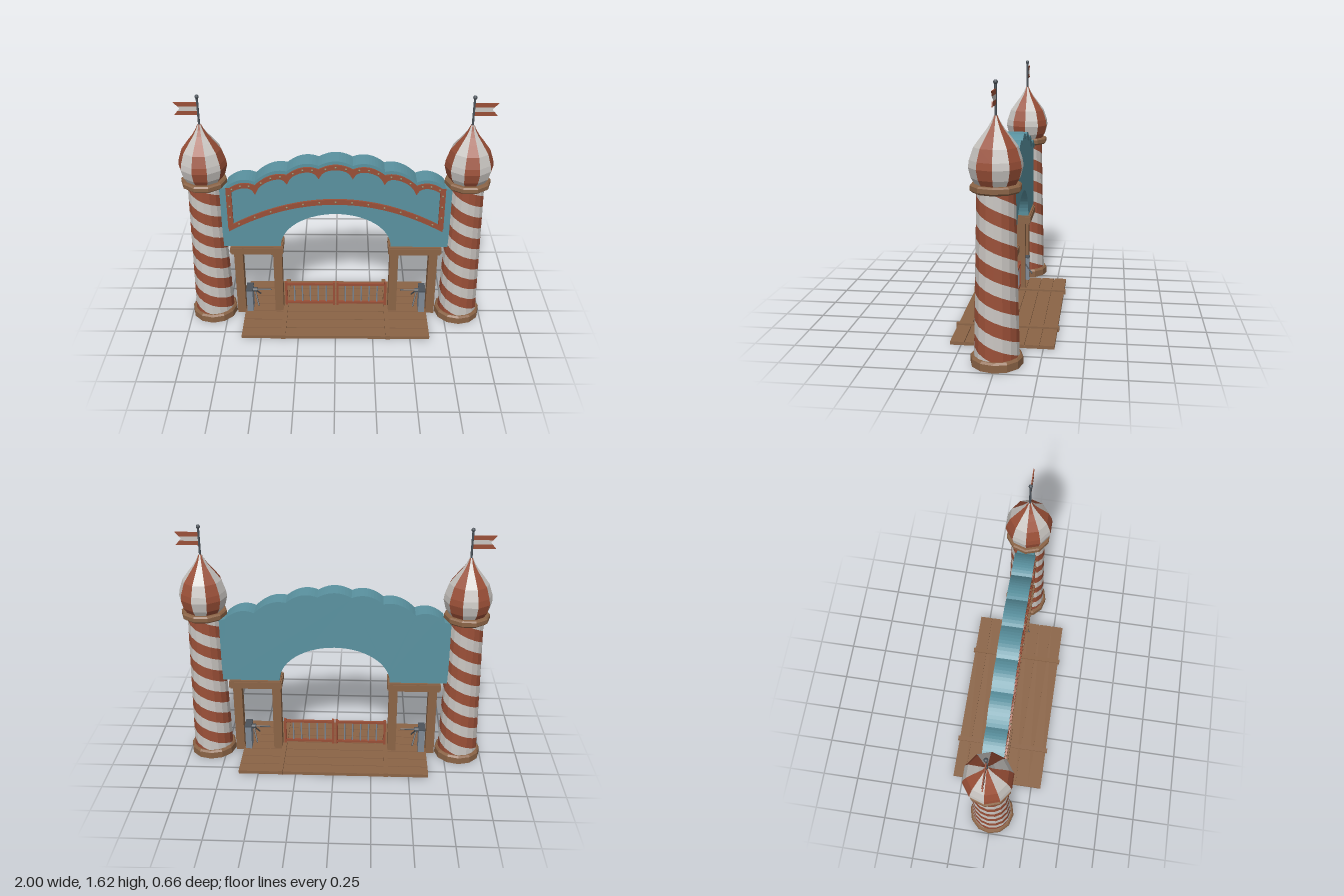
import * as THREE from 'three';
import { mergeGeometries } from 'three/addons/utils/BufferGeometryUtils.js';

const mat = (name, color) => {
  const m = new THREE.MeshStandardMaterial({ color });
  m.name = name;
  return m;
};

export function createModel() {
  const teal = mat('teal paint', 0x5a92a0);
  const red = mat('brick red', 0x9a4f37);
  const white = mat('off white', 0xc9c5c1);
  const wood = mat('wood', 0x8b6446);
  const steel = mat('steel', 0x808a96);
  const iron = mat('dark iron', 0x4c535a);
  const brass = mat('brass bulbs', 0x8c7a5c);

  const root = new THREE.Group();
  root.name = 'entranceGate';

  const add = (name, geo, material, x = 0, y = 0, z = 0, parent = root) => {
    const m = new THREE.Mesh(geo, material);
    m.name = name;
    m.position.set(x, y, z);
    parent.add(m);
    return m;
  };
  const flat = (geo) => {
    const g = geo.index ? geo.toNonIndexed() : geo;
    g.computeVertexNormals();
    return g;
  };
  // Box given by its limits
  const box = (name, material, x0, x1, y0, y1, z0, z1, parent = root) =>
    add(name, new THREE.BoxGeometry(Math.abs(x1 - x0), y1 - y0, z1 - z0), material,
      (x0 + x1) / 2, (y0 + y1) / 2, (z0 + z1) / 2, parent);
  // Plate extruded between z0 and z1 from an outline of [x, y] points
  const plate = (name, material, pts, z0, z1, parent = root) => {
    const shape = new THREE.Shape(pts.map(([x, y]) => new THREE.Vector2(x, y)));
    const geo = new THREE.ExtrudeGeometry(shape, { depth: z1 - z0, bevelEnabled: false });
    return add(name, geo, material, 0, 0, z0, parent);
  };
  // Faceted turned solid with corners on the x axis
  const turned = (pts, sides) => flat(new THREE.LatheGeometry(
    pts.map(([r, y]) => new THREE.Vector2(r, y)), sides, Math.PI / 2));

  // ---- Towers ----
  const Y0 = 0.05, Y1 = 1.02;
  const radiusAt = (y) => THREE.MathUtils.lerp(0.133, 0.11, (y - Y0) / (Y1 - Y0));
  // Helical bands of one colour on the tapering shaft
  const spiral = (parity) => {
    const sides = 16, band = 0.08, pitch = band * 4, pos = [];
    const p = (i, k) => {
      const y = THREE.MathUtils.clamp(Y0 + pitch * i / sides + k * band, Y0, Y1);
      const a = 2 * Math.PI * i / sides, r = radiusAt(y);
      return [r * Math.cos(a), y, r * Math.sin(a)];
    };
    for (let k = -4 + parity; k < 13; k += 2) {
      for (let i = 0; i < sides; i++) {
        const a = p(i, k), b = p(i, k + 1), c = p(i + 1, k + 1), d = p(i + 1, k);
        if (b[1] > a[1]) pos.push(...a, ...b, ...c);
        if (c[1] > d[1]) pos.push(...a, ...c, ...d);
      }
    }
    const g = new THREE.BufferGeometry();
    g.setAttribute('position', new THREE.Float32BufferAttribute(pos, 3));
    return flat(g);
  };
  const domeProfile = [[0.115, 1.05], [0.14, 1.09], [0.155, 1.15], [0.149, 1.19], [0.125, 1.26],
    [0.08, 1.32], [0.048, 1.36], [0.026, 1.395], [0.01, 1.43]].map(([r, y]) => new THREE.Vector2(r, y));
  // Every other gore of the onion dome
  const gores = (parity) => {
    const parts = [], step = Math.PI / 5;
    for (let i = parity; i < 10; i += 2) {
      parts.push(new THREE.LatheGeometry(domeProfile, 1, Math.PI / 2 - step * (i + 1), step));
    }
    return flat(mergeGeometries(parts));
  };

  for (const s of [-1, 1]) {
    const tower = new THREE.Group();
    tower.name = s < 0 ? 'rightTower' : 'leftTower';
    tower.position.x = s * 0.845;
    root.add(tower);
    const part = (name, geo, m, y = 0) => add(name, geo, m, 0, y, 0, tower);
    part('towerBase', turned([[0, 0], [0.153, 0], [0.153, 0.045], [0.143, 0.057], [0, 0.057]], 12), wood);
    part('redSpiral', spiral(0), red);
    part('whiteSpiral', spiral(1), white);
    part('towerCap', turned([[0, 1.01], [0.133, 1.01], [0.147, 1.022], [0.147, 1.048], [0.138, 1.057], [0, 1.057]], 10), wood);
    part('redDomeGores', gores(0), red);
    part('whiteDomeGores', gores(1), white);
    part('flagPole', new THREE.CylinderGeometry(0.007, 0.007, 0.21, 8), iron, 1.505);
    part('poleBall', new THREE.SphereGeometry(0.013, 10, 8), iron, 1.609);
    // Swallowtail flag in three stripes
    const tail = (v) => s * (0.112 + 0.036 * Math.abs(v) / 0.0425);
    const levels = [-0.0425, -0.0142, 0.0142, 0.0425];
    for (let i = 0; i < 3; i++) {
      const a = levels[i], b = levels[i + 1];
      const pts = [[0, a], [tail(a), a], ...(i === 1 ? [[tail(0), 0]] : []), [tail(b), b], [0, b]];
      plate('flagStripe', i === 1 ? white : red, pts, -0.003, 0.003, tower).position.y = 1.531;
    }
  }

  // ---- Scalloped arch board ----
  const valleys = [[-0.7, 1.02], [-0.515, 1.06], [-0.31, 1.135], [-0.108, 1.175],
    [0.108, 1.175], [0.31, 1.135], [0.515, 1.06], [0.7, 1.02]];
  const scallops = [];  // x, y and position within the scallop
  for (let k = 0; k < 7; k++) {
    const [xa, ya] = valleys[k], [xb, yb] = valleys[k + 1];
    for (let i = k ? 1 : 0; i <= 10; i++) {
      const t = i / 10;
      scallops.push({ x: xa + (xb - xa) * t, y: ya + (yb - ya) * t + 0.128 * t * (1 - t), t });
    }
  }
  const crest = (d) => scallops.map((p) => [p.x, p.y - d]);
  const opening = [];
  for (let i = 0; i <= 28; i++) {
    const a = Math.PI * i / 28;
    opening.push([-0.365 * Math.cos(a), 0.57 + 0.25 * Math.sin(a)]);
  }
  plate('archBoard', teal, [[-0.745, 0.57], ...opening, [0.745, 0.57], [0.745, 1.0],
    ...crest(0.008).reverse(), [-0.745, 1.0]], -0.058, 0.058);
  plate('scallopedRim', teal, [...crest(0.022), ...crest(0).reverse()], -0.068, 0.068);

  // ---- Red trim with bulbs on the front ----
  const inner = scallops.filter((p) => Math.abs(p.x) < 0.69);
  const hang = (p) => p.y - 0.06 - 0.032 * Math.abs(2 * p.t - 1) ** 6;
  plate('scallopedTrim', red, [...inner.map((p) => [p.x, hang(p)]),
    ...inner.map((p) => [p.x, p.y - 0.026]).reverse()], 0.058, 0.072);
  const bow = (x) => 0.915 - 0.205 * (x / 0.7) ** 2;
  const xs = Array.from({ length: 29 }, (_, i) => -0.7 + 0.05 * i);
  plate('bowedTrim', red, [...xs.map((x) => [x, bow(x) - 0.018]),
    ...xs.map((x) => [x, bow(x) + 0.018]).reverse()], 0.058, 0.072);
  const bulb = new THREE.SphereGeometry(0.008, 8, 6);
  for (const s of [-1, 1]) {
    box('sideTrim', red, s * 0.703, s * 0.668, 0.71, 1.015, 0.058, 0.071);
    for (const y of [0.8, 0.88, 0.96]) add('bulb', bulb, brass, s * 0.685, y, 0.072);
  }
  for (let i = -6; i <= 6; i++) add('bulb', bulb, brass, i * 0.105, bow(i * 0.105), 0.072);
  for (const p of inner) {
    if ([0.2, 0.5, 0.8].some((t) => Math.abs(p.t - t) < 0.01)) add('bulb', bulb, brass, p.x, p.y - 0.043, 0.072);
  }

  // ---- Floor ----
  const pitch = 0.64 / 7;
  for (let i = 0; i < 7; i++) {
    const z = -0.32 + i * pitch;
    box('floorPlank', wood, -0.63, 0.63, 0.004, 0.022, z + 0.003, z + pitch - 0.003);
  }
  box('floorUnderside', wood, -0.628, 0.628, 0, 0.012, -0.317, 0.317);

  for (const s of [-1, 1]) {
    box('floorBatten', wood, s * 0.335, s * 0.365, 0.004, 0.034, -0.328, 0.328);

    // ---- Posts and beams ----
    for (const x of [0.392, 0.655]) box('post', wood, s * (x - 0.029), s * (x + 0.029), 0.005, 0.52, -0.035, 0.035);
    box('beamFoot', wood, s * 0.357, s * 0.695, 0.508, 0.525, -0.068, 0.068);
    box('beam', wood, s * 0.35, s * 0.702, 0.52, 0.56, -0.076, 0.076);
    box('beamTop', wood, s * 0.357, s * 0.695, 0.56, 0.569, -0.07, 0.07);

    // ---- Gate leaf ----
    for (const x of [0.012, 0.343]) box('gateStile', red, s * (x - 0.008), s * (x + 0.008), 0.05, 0.24, -0.01, 0.01);
    for (const y of [0.07, 0.222]) box('gateRail', red, s * 0.01, s * 0.345, y - 0.008, y + 0.008, -0.008, 0.008);
    for (let i = 1; i <= 5; i++) {
      add('gateBar', new THREE.CylinderGeometry(0.005, 0.005, 0.15, 8), steel, s * (0.012 + i * 0.055), 0.146, 0);
    }

    // ---- Turnstile ----
    box('turnstileBody', steel, s * 0.575, s * 0.617, 0.02, 0.19, -0.045, 0.045);
    box('turnstileLid', iron, s * 0.573, s * 0.619, 0.19, 0.2, -0.047, 0.047);
    const hub = new THREE.Vector3(s * 0.562, 0.175, 0);
    add('turnstileHub', new THREE.CylinderGeometry(0.016, 0.016, 0.03, 10).rotateZ(Math.PI / 2), iron, hub.x, hub.y, hub.z);
    for (const [dx, dy, dz] of [[-0.11, 0, 0], [-0.03, -0.085, 0.07], [-0.03, -0.085, -0.07]]) {
      const end = new THREE.Vector3(s * dx, dy, dz).add(hub);
      add('turnstileArm', new THREE.TubeGeometry(new THREE.LineCurve3(hub, end), 1, 0.005, 8), iron);
      add('armTip', new THREE.SphereGeometry(0.005, 8, 6), iron, end.x, end.y, end.z);
    }
  }
  return root;
}
